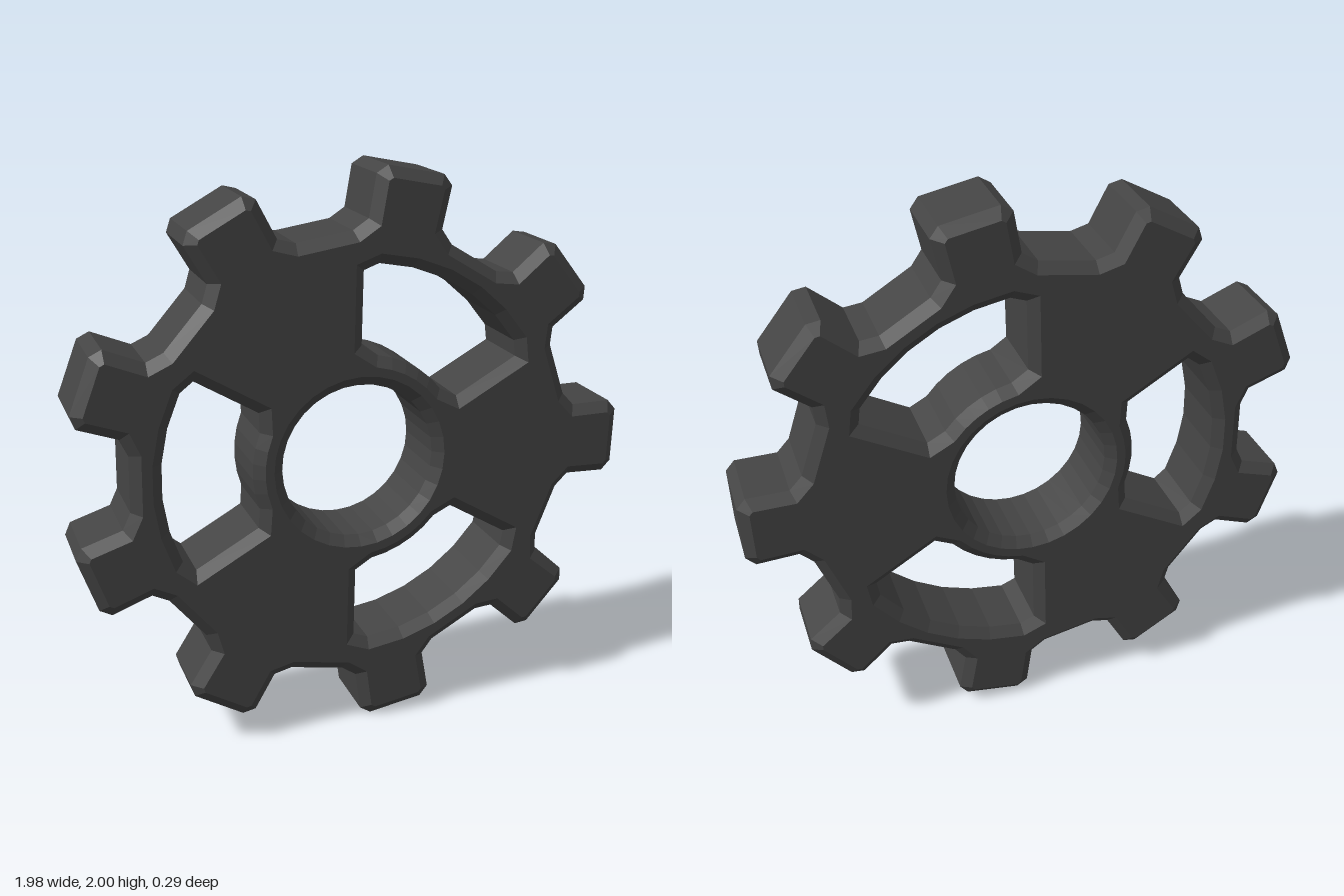
import * as THREE from 'three';

const DEG = Math.PI / 180;
const TEETH = 9, WINDOWS = 3, TILT = -1.5;
const THICKNESS = 0.29, BEVEL_DEPTH = 0.03, BEVEL_WIDTH = 0.036;

const polar = (r, deg) => new THREE.Vector2(r * Math.cos(deg * DEG), r * Math.sin(deg * DEG));

// Nine clipped, straight-sided teeth joined by short flat valleys
function toothedOutline() {
  const half = [[0.775, 0.178], [0.82, 0.132], [0.965, 0.135], [0.997, 0.1]];
  const tooth = [
    ...half.map(([u, v]) => new THREE.Vector2(u, -v)),
    ...half.slice().reverse().map(([u, v]) => new THREE.Vector2(u, v)),
  ];
  const points = [];
  for (let i = 0; i < TEETH; i++) {
    const angle = (TILT + i * 360 / TEETH) * DEG;
    tooth.forEach(p => points.push(p.clone().rotateAround(new THREE.Vector2(), angle)));
  }
  return new THREE.Shape(points);
}

// Sector opening between two spokes, with clipped corners
function windowOutline(middle) {
  const points = [];
  points.push(polar(0.41, middle - 30), polar(0.662, middle - 30));
  for (let i = 0; i <= 5; i++) points.push(polar(0.685, middle - 25.5 + i * 10.2));
  points.push(polar(0.662, middle + 30), polar(0.41, middle + 30));
  for (let i = 0; i <= 5; i++) points.push(polar(0.376, middle + 21 - i * 8.4));
  return new THREE.Path(points);
}

// Round bore through the hub
function boreOutline() {
  const points = [];
  for (let i = 0; i < 32; i++) points.push(polar(0.273, i * 360 / 32));
  return new THREE.Path(points);
}

export function createModel() {
  const group = new THREE.Group();
  group.name = 'gear';

  const shape = toothedOutline();
  shape.holes.push(boreOutline());
  for (let i = 0; i < WINDOWS; i++) shape.holes.push(windowOutline(TILT + 60 + i * 360 / WINDOWS));

  // One bevelled plate: every rim, opening and tooth edge is chamfered
  const depth = THICKNESS - 2 * BEVEL_DEPTH;
  const geometry = new THREE.ExtrudeGeometry(shape, {
    depth,
    bevelEnabled: true,
    bevelThickness: BEVEL_DEPTH,
    bevelSize: BEVEL_WIDTH,
    bevelOffset: -BEVEL_WIDTH,
    bevelSegments: 1,
  });
  geometry.translate(0, 0, -depth / 2);

  const wheel = new THREE.Mesh(geometry, new THREE.MeshStandardMaterial({ color: 0x444444, flatShading: true }));
  wheel.name = 'gearWheel';

  // Stand on the ground, centred in x
  geometry.computeBoundingBox();
  const { min, max } = geometry.boundingBox;
  wheel.position.set(-(min.x + max.x) / 2, -min.y, 0);
  group.add(wheel);
  return group;
}
